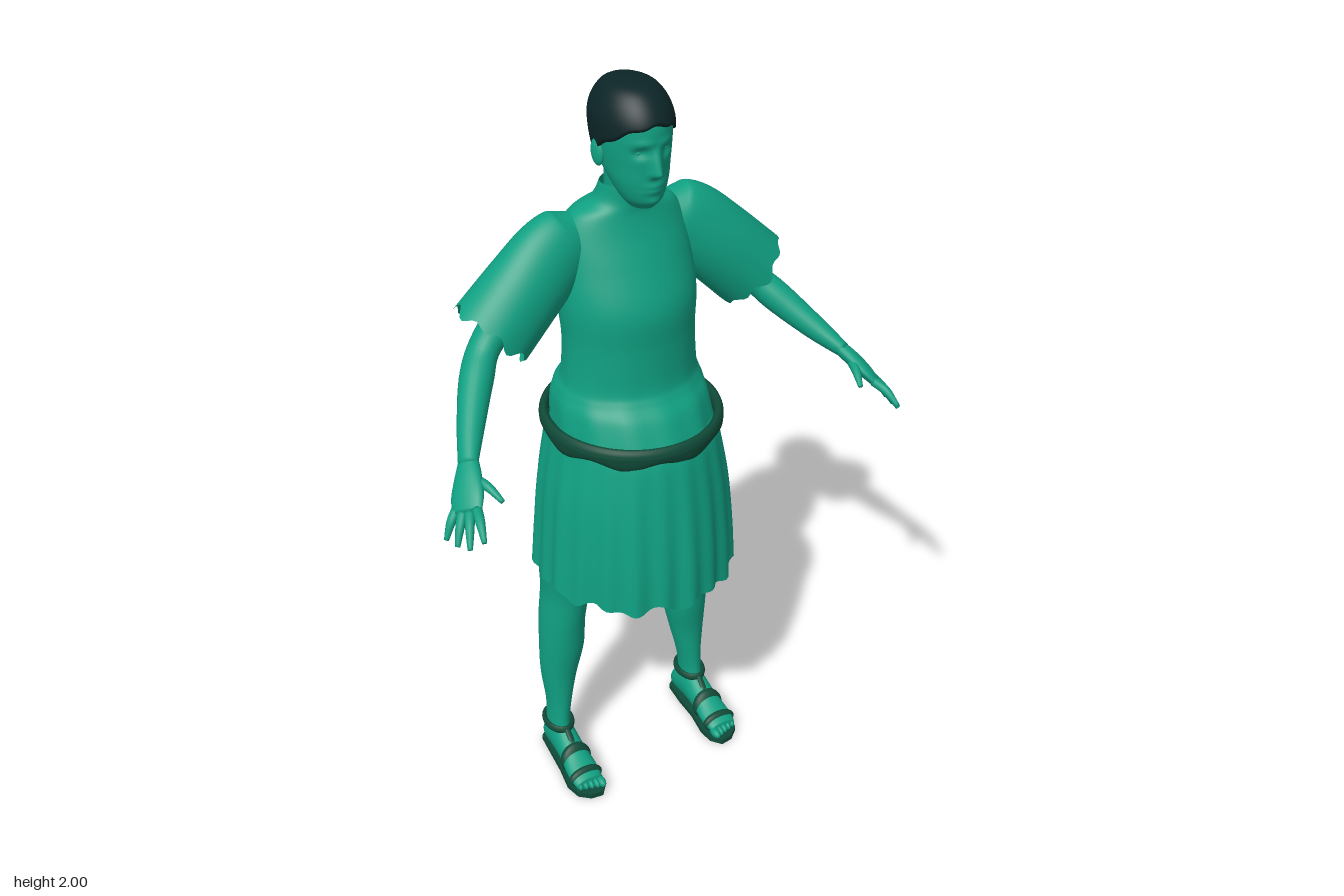
import * as THREE from 'three';

const V = (x, y, z) => new THREE.Vector3(x, y, z);
const bell = (d, w) => Math.exp(-((d / w) ** 2));

// Catmull-Rom blend of numeric rows, t in 0..1
function spline(rows, t) {
  const k = rows.length - 1, f = Math.min(Math.max(t, 0) * k, k - 1e-6);
  const i = Math.floor(f), w = f - i;
  const at = (j) => rows[Math.min(Math.max(j, 0), k)];
  return rows[0].map((_, c) => {
    const [a, b, d, e] = [at(i - 1)[c], at(i)[c], at(i + 1)[c], at(i + 2)[c]];
    return b + 0.5 * w * (d - a + w * (2 * a - 5 * b + 4 * d - e + w * (3 * (b - d) + e - a)));
  });
}

// Smooth skin over rings given by fn(angle, t); faces always point outward
function surface(n, m, fn, capped = true) {
  const pts = [], idx = [];
  for (let j = 0; j <= m; j++)
    for (let i = 0; i < n; i++) pts.push(fn((i / n) * Math.PI * 2, j / m));
  for (let j = 0; j < m; j++)
    for (let i = 0; i < n; i++) {
      const a = j * n + i, b = j * n + (i + 1) % n;
      idx.push(a, b, a + n, b, b + n, a + n);
    }
  if (capped) for (const j of [0, m]) {
    const c = V(0, 0, 0);
    for (let i = 0; i < n; i++) c.addScaledVector(pts[j * n + i], 1 / n);
    pts.push(c);
    for (let i = 0; i < n; i++) {
      const a = j * n + i, b = j * n + (i + 1) % n;
      idx.push(...(j ? [a, b, pts.length - 1] : [b, a, pts.length - 1]));
    }
  }
  const mid = V(0, 0, 0);
  pts.forEach((p) => mid.addScaledVector(p, 1 / pts.length));
  let vol = 0;
  for (let i = 0; i < idx.length; i += 3) {
    const [a, b, c] = [0, 1, 2].map((k) => pts[idx[i + k]].clone().sub(mid));
    vol += a.dot(b.cross(c));
  }
  if (vol < 0) idx.reverse();
  const g = new THREE.BufferGeometry().setFromPoints(pts);
  g.setIndex(idx);
  g.computeVertexNormals();
  return g;
}

// Point on a level ring: row = [y, halfWidth, frontZ, backZ]
function level(rows, a, t, k = 1) {
  const [y, hx, f, b] = spline(rows, t);
  return V(hx * k * Math.cos(a), y, (f + b) / 2 + ((f - b) / 2) * k * Math.sin(a));
}

// Limb along rows [x, y, z, thickness, width]; width runs along ref
function limb(s, rows, n, m, { ref = V(0, 0, 1), wave = () => 0, capped = true } = {}) {
  return surface(n, m, (a, t) => {
    const [x, y, z, h, w] = spline(rows, t);
    const p = V(...spline(rows, Math.max(t - 0.02, 0)).slice(0, 3));
    const d = V(...spline(rows, Math.min(t + 0.02, 1)).slice(0, 3)).sub(p).normalize();
    const v = ref.clone().addScaledVector(d, -ref.dot(d)).normalize();
    const u = d.clone().cross(v);
    const q = V(x, y, z).addScaledVector(u, h * Math.cos(a)).addScaledVector(v, w * Math.sin(a));
    q.addScaledVector(d, wave(a, t));
    q.x *= s;
    return q;
  }, capped);
}

const HEAD = [[1.715, .03, .05, -.03], [1.74, .05, .07, -.05], [1.78, .068, .076, -.085],
  [1.82, .078, .078, -.125], [1.87, .084, .082, -.145], [1.92, .084, .078, -.148],
  [1.96, .07, .055, -.13], [1.985, .045, .02, -.1], [1.993, .001, -.04, -.042]];
const TORSO = [[1.13, .205, .17, -.25], [1.19, .2, .14, -.245], [1.225, .19, .11, -.225],
  [1.26, .178, .095, -.195], [1.36, .172, .09, -.19], [1.46, .178, .088, -.205],
  [1.56, .175, .05, -.205], [1.63, .165, .02, -.19], [1.68, .135, .005, -.16],
  [1.71, .085, .004, -.13], [1.755, .07, .004, -.105]];
const SKIRT = [[1.14, .21, .18, -.255], [1.08, .222, .2, -.27], [.95, .245, .22, -.285],
  [.8, .258, .235, -.297], [.68, .265, .24, -.305]];

export function createModel() {
  const model = new THREE.Group();
  const mat = (name, color) => {
    const m = new THREE.MeshStandardMaterial({ color, side: THREE.DoubleSide });
    m.name = name;
    return m;
  };
  const teal = mat('teal', 0x10a082), dark = mat('darkGreen', 0x104a38), black = mat('hairBlack', 0x0c2527);
  const add = (name, geo, m = teal) => {
    const mesh = new THREE.Mesh(geo, m);
    mesh.name = name;
    model.add(mesh);
    return mesh;
  };
  const ball = (name, p, r, m) => {
    const b = add(name, new THREE.SphereGeometry(1, 16, 10), m);
    b.position.set(...p);
    b.scale.set(...r);
    return b;
  };

  // Head with modelled brow, nose, lips and chin
  add('head', surface(96, 70, (a, t) => {
    const p = level(HEAD, a, t), { x, y } = p, ax = Math.abs(x);
    if (Math.sin(a) > 0) {
      const bridge = y > 1.81 ? Math.max(0, (1.872 - y) / 0.062) : Math.max(0, 1 - (1.81 - y) / 0.016);
      p.z += 0.028 * bridge * bell(x, 0.013)
        - 0.011 * bell(ax - 0.033, 0.017) * bell(y - 1.858, 0.012)
        + 0.004 * bell(ax - 0.03, 0.025) * bell(y - 1.88, 0.008)
        + 0.008 * bell(x, 0.024) * bell(y - 1.771, 0.012)
        - 0.006 * bell(x, 0.026) * bell(y - 1.771, 0.003)
        + 0.006 * bell(x, 0.02) * bell(y - 1.737, 0.012);
    }
    return p;
  }));
  // Hair cap with a hairline that drops to the nape
  add('hair', surface(64, 24, (a, t) => {
    const s = Math.sin(a), t0 = 0.46 + (s > 0 ? 0.17 : 0.2) * s + 0.008 * Math.sin(9 * a);
    const p = level(HEAD, a, t0 + (1 - t0) * t, 1.08);
    p.y += 0.007 * t;
    return p;
  }), black);
  add('neck', surface(32, 8, (a, t) => level([[1.6, .07, -.01, -.14], [1.69, .054, -.01, -.115],
    [1.79, .054, .01, -.11]], a, t)));

  // Tunic body with bloused waist and notched collar
  add('tunic', surface(80, 60, (a, t) => {
    const notch = 0.13 * bell(a - Math.PI / 2, 0.32);
    const fold = 1 + 0.012 * Math.sin(13 * a) * Math.max(0, 1 - 2.2 * t);
    return level(TORSO, a, t * (1 - notch), fold);
  }, false));
  // Pleated skirt
  add('skirt', surface(160, 24, (a, t) => {
    const p = level(SKIRT, a, t, 1 + t * (0.022 * Math.sin(22 * a) + 0.012 * Math.sin(9 * a + 1)));
    p.y += t * t * (0.009 * Math.sin(11 * a) + 0.006 * Math.sin(17 * a + 2));
    return p;
  }, false));
  // Belt with an uneven lower edge
  add('belt', surface(96, 16, (a, t) => {
    const c = Math.cos(t * 2 * Math.PI), s = Math.sin(t * 2 * Math.PI);
    const sag = s < 0 ? 0.009 * Math.sin(8 * a) - 0.006 : 0;
    return V((0.221 + 0.013 * c) * Math.cos(a), 1.127 + 0.024 * s - s * s * 0.002 + sag * -s,
      -0.039 + (0.228 + 0.013 * c) * Math.sin(a));
  }, false), dark);

  for (const s of [1, -1]) {
    const side = s > 0 ? 'left' : 'right';
    ball(side + 'Eye', [s * 0.031, 1.857, 0.054], [0.012, 0.008, 0.009]);
    const ear = ball(side + 'Ear', [s * 0.086, 1.838, -0.038], [0.009, 0.032, 0.019]);
    ear.rotation.set(-0.2, -s * 0.3, 0);

    // Wide sleeve with a ragged hem
    add(side + 'Sleeve', limb(s, [[.1, 1.64, -.088, .05, .04], [.135, 1.615, -.088, .088, .062],
      [.19, 1.585, -.085, .1, .075], [.265, 1.52, -.078, .103, .088], [.36, 1.43, -.072, .106, .1]], 56, 24, {
      wave: (a, t) => t ** 6 * (0.009 * Math.sin(9 * a) + 0.006 * Math.sin(5 * a)), capped: false }));
    // Arm
    add(side + 'Arm', limb(s, [[.18, 1.61, -.088, .052, .052], [.29, 1.49, -.085, .048, .048],
      [.375, 1.4, -.075, .038, .042], [.425, 1.345, -.025, .04, .042], [.485, 1.28, .065, .031, .033],
      [.528, 1.236, .138, .019, .026]], 24, 30));
    // Hand
    add(side + 'Palm', limb(s, [[.522, 1.242, .128, .018, .025], [.54, 1.22, .162, .019, .036],
      [.558, 1.195, .195, .017, .044], [.573, 1.172, .222, .012, .04]], 20, 12, { ref: V(.4, -.2, -.7) }));
    const fingers = { index: [[.555, 1.185, .238], [.575, 1.148, .315]], middle: [[.569, 1.176, .229], [.6, 1.121, .29]],
      ring: [[.58, 1.169, .214], [.614, 1.111, .252]], little: [[.588, 1.165, .193], [.624, 1.108, .212]],
      thumb: [[.528, 1.22, .175], [.499, 1.196, .255]] };
    for (const [name, [b, e]] of Object.entries(fingers)) {
      const mid = b.map((v, i) => (v + e[i]) / 2 + (i === 1 ? 0.008 : 0));
      add(`${side}${name}Finger`, limb(s, [[...b, .012, .012], [...mid, .011, .011], [...e, .006, .006]], 10, 8,
        { ref: V(.4, -.2, -.7) }));
    }

    // Leg
    const leg = [[.95, .13, .085, .04, -.15], [.8, .165, .082, .03, -.15], [.7, .18, .078, .02, -.152],
      [.6, .186, .066, 0, -.155], [.5, .197, .062, -.01, -.155], [.4, .2, .062, -.02, -.152],
      [.3, .21, .05, -.034, -.145], [.2, .217, .034, -.037, -.13], [.13, .222, .029, -.034, -.128], [.06, .222, .032, -.02, -.138]];
    add(side + 'Leg', surface(32, 45, (a, t) => {
      const [y, x, hx, f, b] = spline(leg, t);
      return V(s * (x + hx * Math.cos(a)), y, (f + b) / 2 + ((f - b) / 2) * Math.sin(a));
    }));
    // Foot: rows [z, x, halfWidth, height]
    const foot = [[-.148, .218, .018, .05], [-.12, .219, .032, .085], [-.06, .221, .036, .115],
      [0, .222, .038, .09], [.05, .223, .044, .062], [.09, .224, .044, .045], [.112, .224, .038, .035]];
    const footAt = (a, t, grow = 0) => {
      const [z, x, w, h] = spline(foot, t);
      return V(s * (x + (w + grow) * Math.cos(a)), 0.014 + h / 2 + (h / 2 + grow) * Math.sin(a), z);
    };
    add(side + 'Foot', surface(28, 24, footAt));
    for (let i = 0; i < 5; i++)
      ball(side + 'Toe', [s * (.192 + i * .0155), .028, .118 - i * .005], [i ? .0085 : .012, .013, .022]);

    // Sandal sole
    const outline = new THREE.Shape([[.218, .162], [.19, .14], [.184, .07], [.183, 0], [.172, -.07], [.176, -.115],
      [.2, -.145], [.235, -.14], [.264, -.115], [.274, -.07], [.262, 0], [.255, .07], [.248, .14]]
      .map(([x, z]) => new THREE.Vector2(s * x, z)));
    const sole = new THREE.ExtrudeGeometry(outline, { depth: 0.016, bevelEnabled: false });
    sole.rotateX(-Math.PI / 2);
    add(side + 'Sole', sole, dark);
    // Sandal straps
    for (const [t0, t1] of [[.53, .61], [.77, .86]])
      add(side + 'FootStrap', surface(28, 6, (a, t) => footAt(a, t0 + (t1 - t0) * t, 0.002 + 0.005 * Math.sin(t * Math.PI)), false), dark);
    add(side + 'AnkleStrap', surface(32, 10, (a, t) => {
      const b = t * 2 * Math.PI, r = 0.007 * Math.cos(b);
      return V(s * (.222 + (.036 + r) * Math.cos(a)), .121 + .012 * Math.sin(b), -.081 + (.052 + r) * Math.sin(a));
    }, false), dark);
    add(side + 'InstepStrap', limb(s, [[.222, .075, .035, .004, .01], [.222, .105, -.005, .004, .009],
      [.222, .125, -.026, .004, .008]], 10, 8, { ref: V(1, 0, 0) }), dark);
  }
  return model;
}
